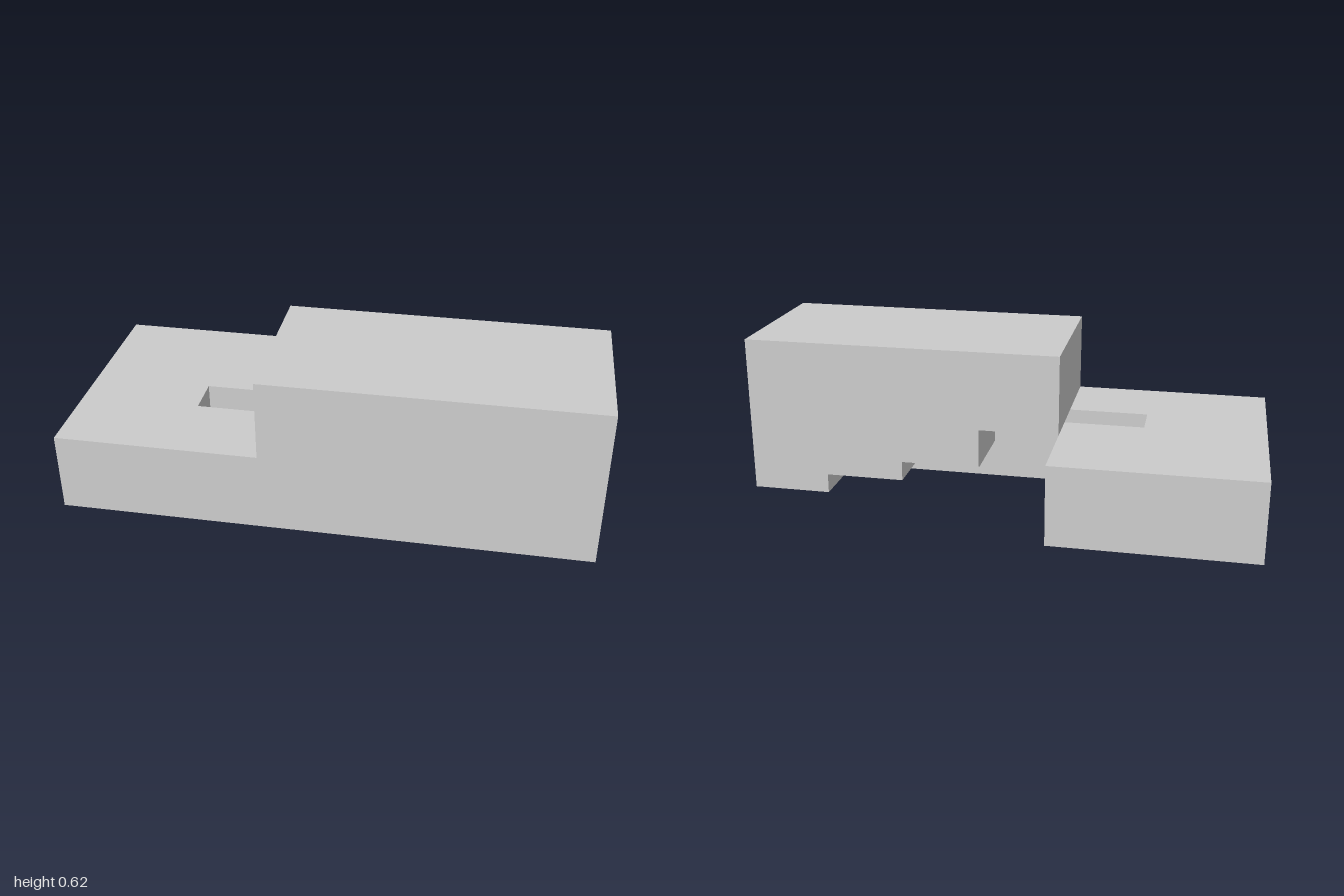
import * as THREE from 'three';

const U = 2 / 13; // one module of the block grid

export function createModel() {
  const group = new THREE.Group();
  const material = new THREE.MeshStandardMaterial({ color: 0xcccccc, flatShading: true });

  const add = (name, geometry) => {
    const mesh = new THREE.Mesh(geometry.scale(U, U, U), material);
    mesh.name = name;
    group.add(mesh);
  };
  const extrude = (points, depth) => new THREE.ExtrudeGeometry(
    new THREE.Shape(points.map(([x, y]) => new THREE.Vector2(x, y))),
    { depth, bevelEnabled: false });

  // Low block: plan outline (x, -z) with the end of the slot cut into it
  add('lowBlock', extrude([
    [-6.5, -3], [-1.5, -3], [-1.5, -1], [-3.5, -1],
    [-3.5, 0], [-1.5, 0], [-1.5, 3], [-6.5, 3],
  ], 2).rotateX(-Math.PI / 2));

  // Full-height wall along the front
  add('frontWall', new THREE.BoxGeometry(8, 4, 2).translate(2.5, 2, 2));

  // Rear half of the tall block, its underside rising in steps towards the low block
  const profile = [[6.5, 4], [-1.5, 4]];
  [2, 1, 0.5, 0].forEach((y, i) => {
    const x = -1.5 + 2 * i;
    profile.push([x, y], [x + 2, y]);
  });
  add('steppedBlock', extrude(profile, 2).translate(0, 0, -1));

  return group;
}
